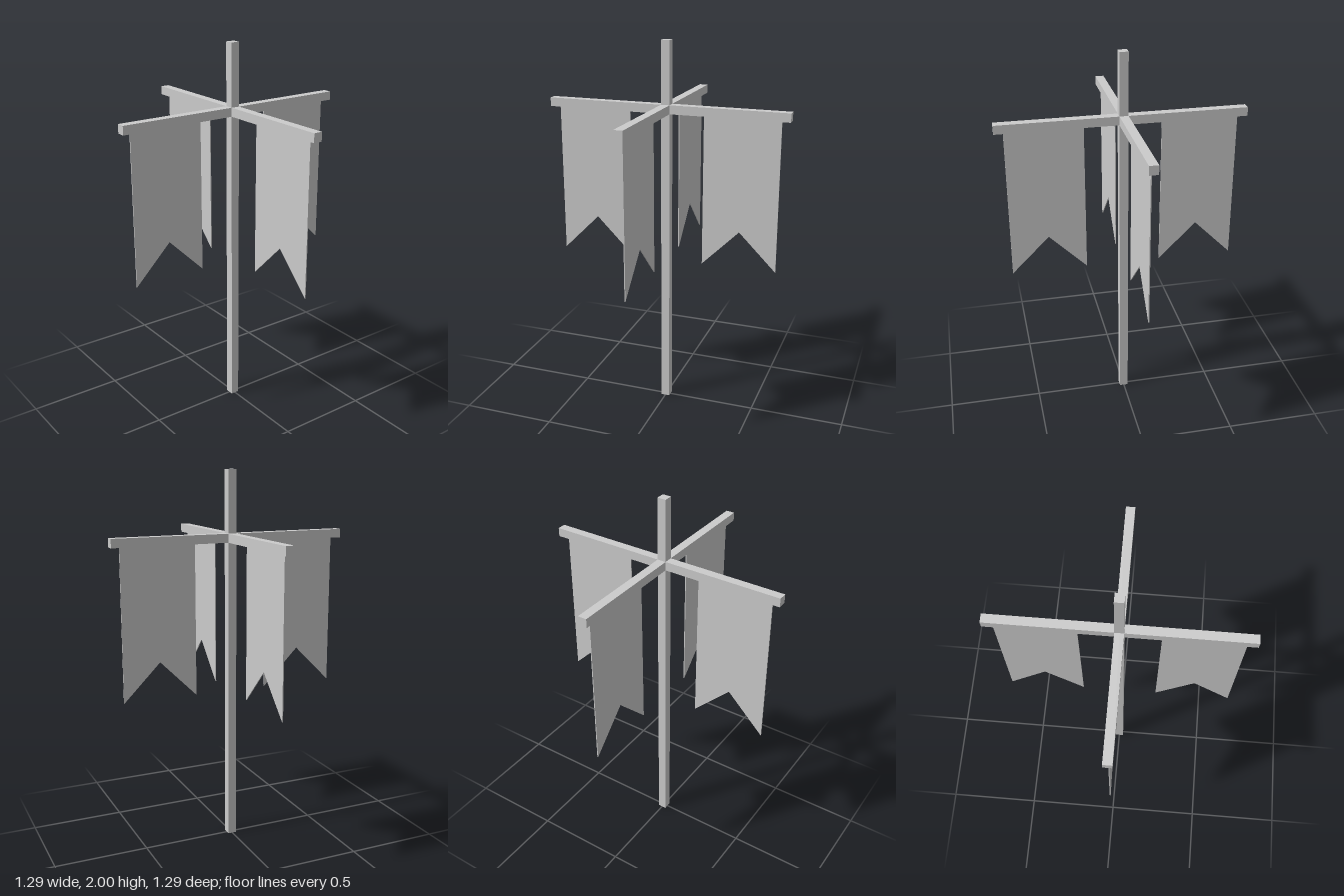
import * as THREE from 'three';

export function createModel() {
  const model = new THREE.Group();
  model.name = 'bannerPole';
  const material = new THREE.MeshStandardMaterial({ color: 0xcccccc, flatShading: true });
  const thick = 0.046; // timber width
  const barY = 1.653;
  const cloth = 0.005; // banner thickness

  const add = (name, geometry, parent) => {
    const mesh = new THREE.Mesh(geometry, material);
    mesh.name = name;
    parent.add(mesh);
    return mesh;
  };

  // Upright pole
  add('pole', new THREE.BoxGeometry(thick, 2, thick), model).position.y = 1;

  // Swallow-tailed banner, hung from the underside of a bar
  const outline = new THREE.Shape([
    [0.2, 1.632], [0.2, 0.83], [0.4, 1.03], [0.6, 0.83], [0.6, 1.632],
  ].map(([x, y]) => new THREE.Vector2(x, y)));
  const bannerGeometry = new THREE.ExtrudeGeometry(outline, { depth: cloth, bevelEnabled: false });
  bannerGeometry.translate(0, 0, -cloth / 2);

  // Two crossing bars, each carrying a banner on both ends
  ['sideways', 'lengthwise'].forEach((label, i) => {
    const arm = new THREE.Group();
    arm.name = label + 'Arm';
    arm.rotation.y = i * Math.PI / 2;
    add('crossbar', new THREE.BoxGeometry(1.294, thick, thick), arm).position.y = barY;
    for (const turn of [0, Math.PI]) add('banner', bannerGeometry, arm).rotation.y = turn;
    model.add(arm);
  });

  return model;
}
